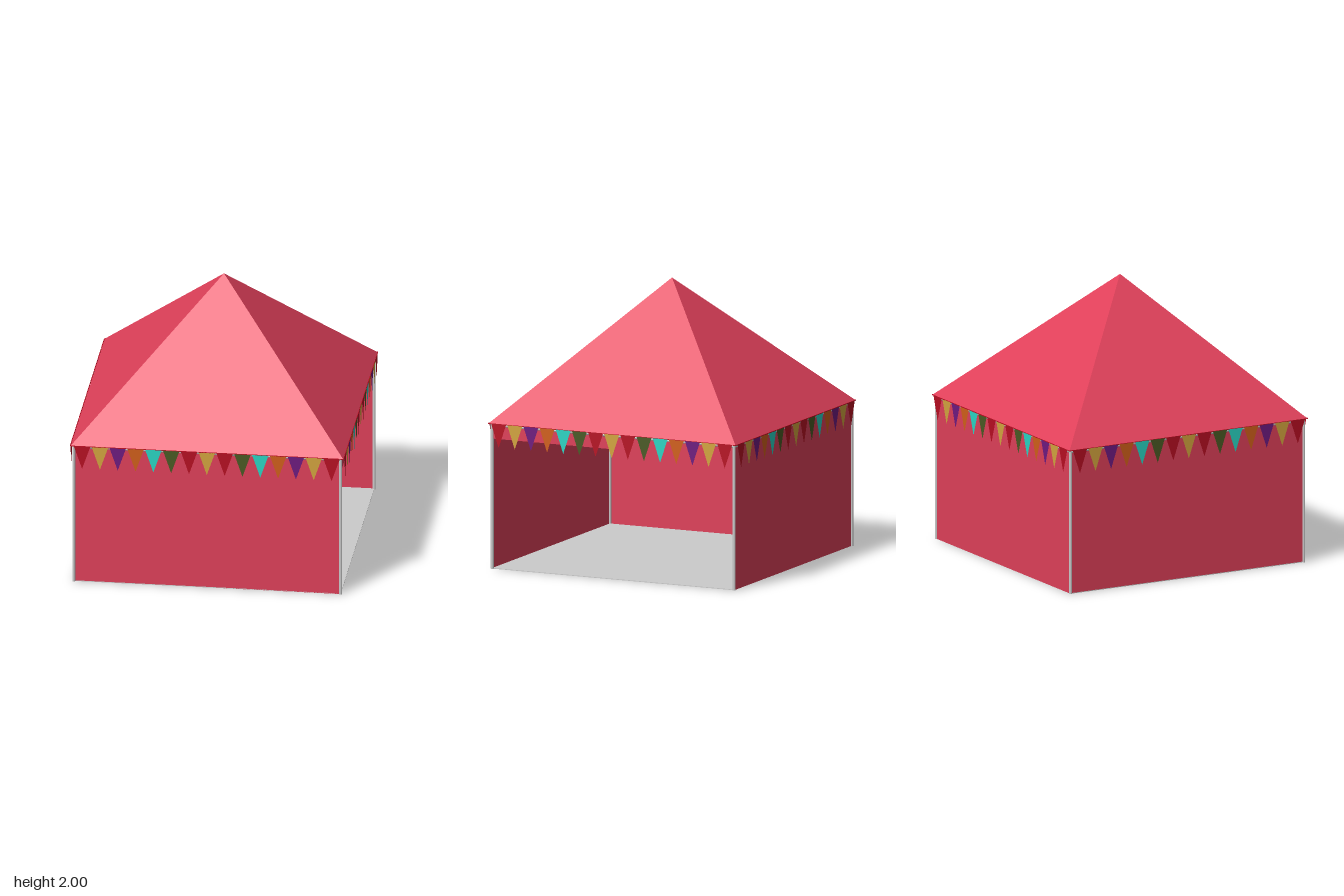
import * as THREE from 'three';

const EAVE = 0.965, EAVE_Y = 1.04, APEX_Y = 2, HALF = 0.945;

const paint = (color) => new THREE.MeshStandardMaterial({ color, side: THREE.DoubleSide });
const canvas = new THREE.MeshStandardMaterial({ color: 0xe0405a, side: THREE.DoubleSide, flatShading: true });
const metal = new THREE.MeshStandardMaterial({ color: 0xcccccc });

function add(parent, name, geometry, material) {
  const mesh = new THREE.Mesh(geometry, material);
  mesh.name = name;
  parent.add(mesh);
  return mesh;
}

// Round bar between two points
function bar(parent, name, a, b, radius = 0.011) {
  const from = new THREE.Vector3(...a), to = new THREE.Vector3(...b);
  const dir = to.clone().sub(from);
  const mesh = add(parent, name, new THREE.CylinderGeometry(radius, radius, dir.length(), 12), metal);
  mesh.position.copy(from).add(to).multiplyScalar(0.5);
  mesh.quaternion.setFromUnitVectors(new THREE.Vector3(0, 1, 0), dir.normalize());
}

export function createModel() {
  const tent = new THREE.Group();
  tent.name = 'tent';

  // Pyramid roof, open underneath
  const roof = add(tent, 'roof',
    new THREE.CylinderGeometry(0, EAVE * Math.SQRT2, APEX_Y - EAVE_Y, 4, 1, true), canvas);
  roof.geometry.rotateY(Math.PI / 4);
  roof.position.y = (APEX_Y + EAVE_Y) / 2;

  // Ground sheet
  const floor = add(tent, 'floor', new THREE.BoxGeometry(2 * HALF, 0.005, 2 * HALF), metal);
  floor.position.y = 0.0025;

  // Poles, top beams and crossed ties
  const frame = new THREE.Group();
  frame.name = 'frame';
  tent.add(frame);
  const corners = [[1, 1], [1, -1], [-1, -1], [-1, 1]].map(([x, z]) => [x * HALF, z * HALF]);
  const beamY = 1.028;
  corners.forEach(([x, z], i) => {
    const [nx, nz] = corners[(i + 1) % 4];
    bar(frame, 'cornerPole', [x, 0, z], [x, EAVE_Y, z]);
    bar(frame, 'topBeam', [x, beamY, z], [nx, beamY, nz]);
    if (i < 2) bar(frame, 'diagonalTie', [x, beamY, z], [-x, beamY, -z]);
  });

  // Pennant colours, mirrored about the middle one
  const [red, yellow, purple, orange, cyan, green] =
    [0xb80e22, 0xd4a53f, 0x6f1a80, 0xd2601a, 0x2ad6c4, 0x4a5a24].map(paint);
  const half = [red, yellow, purple, orange, cyan, green, red];
  const pennants = [...half, yellow, ...half.slice().reverse()];
  const flag = new THREE.ShapeGeometry(new THREE.Shape([
    new THREE.Vector2(-0.058, 0), new THREE.Vector2(0, -0.17), new THREE.Vector2(0.058, 0)]));

  // Four sides: the left one is an open doorway with a short valance
  ['front', 'left', 'back', 'right'].forEach((name, i) => {
    const side = new THREE.Group();
    side.name = name + 'Side';
    side.rotation.y = i * Math.PI / 2;
    tent.add(side);

    const bottom = name === 'left' ? 0.93 : 0;
    const wall = add(side, name === 'left' ? 'doorValance' : name + 'Wall',
      new THREE.PlaneGeometry(1.875, EAVE_Y - bottom), canvas);
    wall.position.set(0, (EAVE_Y + bottom) / 2, HALF);

    const bunting = new THREE.Group();
    bunting.name = 'bunting';
    side.add(bunting);
    pennants.forEach((material, k) => {
      add(bunting, 'pennant', flag, material).position.set((k - 7) * 0.1262, EAVE_Y, 0.97);
    });
    const cord = add(bunting, 'cord', new THREE.BoxGeometry(2 * EAVE, 0.005, 0.004), red);
    cord.position.set(0, EAVE_Y, 0.968);
  });

  return tent;
}
